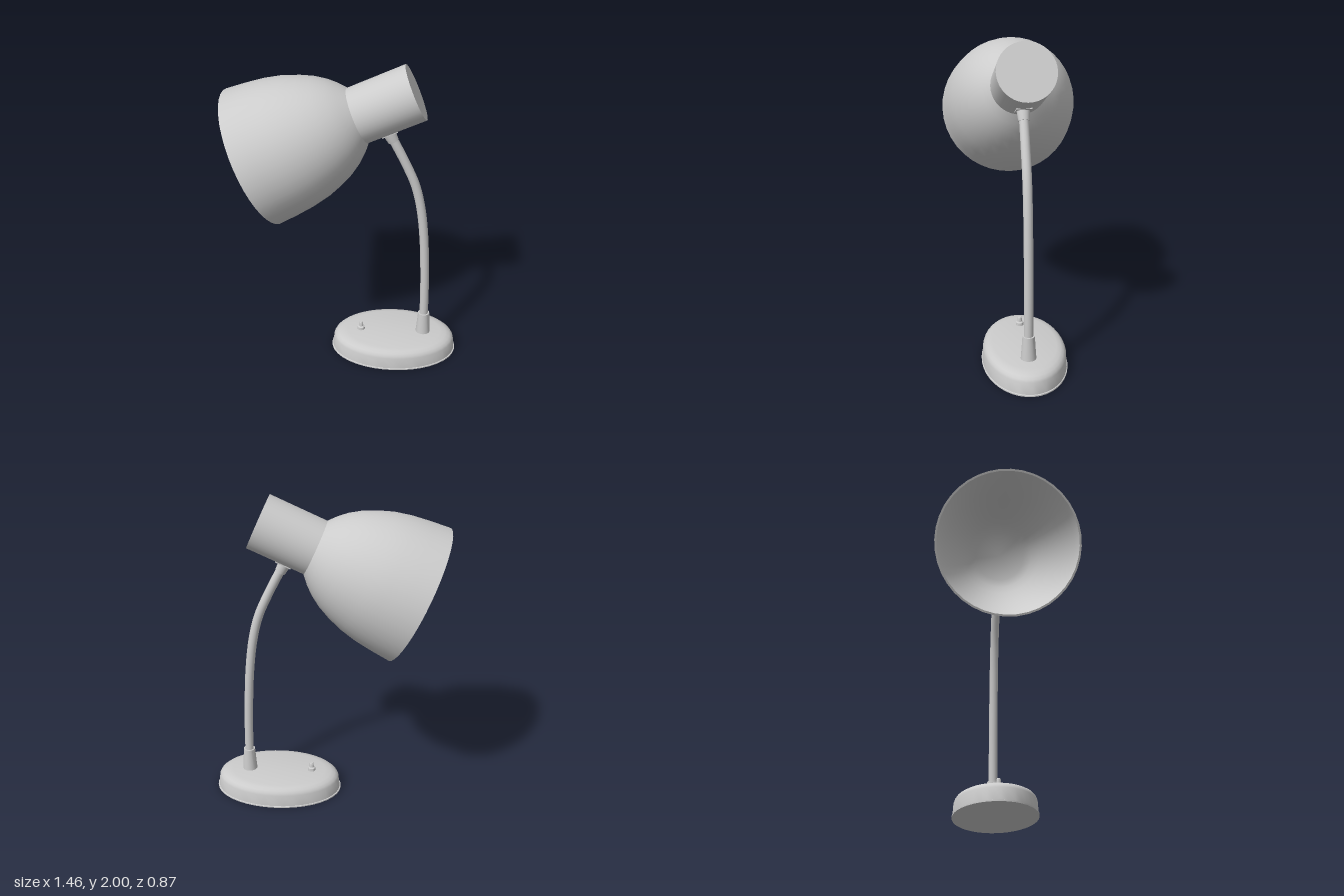
import * as THREE from 'three';
import { toCreasedNormals } from 'three/addons/utils/BufferGeometryUtils.js';

const material = new THREE.MeshStandardMaterial({ color: 0xcccccc });

function addMesh(parent, name, geometry) {
  const mesh = new THREE.Mesh(geometry, material);
  mesh.name = name;
  parent.add(mesh);
  return mesh;
}

// Turned part: profile of [radius, height], sharp edges kept
function turned(profile, segments = 32) {
  const points = profile.map(([r, y]) => new THREE.Vector2(r, y));
  return toCreasedNormals(new THREE.LatheGeometry(points, segments), 0.6);
}

export function createModel() {
  const lamp = new THREE.Group();
  lamp.name = 'deskLamp';

  // Oval base with a thin foot lip and a rounded shoulder
  const base = addMesh(lamp, 'base', turned([
    [0, 0], [0.415, 0], [0.415, 0.008], [0.408, 0.01], [0.4, 0.085], [0.392, 0.1],
    [0.376, 0.114], [0.35, 0.124], [0.31, 0.13], [0, 0.13],
  ], 40));
  base.scale.z = 0.64;
  base.position.x = 0.315;

  // Toggle switch
  const toggle = addMesh(lamp, 'switch', turned([
    [0.026, 0.125], [0.024, 0.148], [0.014, 0.154], [0.013, 0.18], [0.009, 0.186], [0, 0.186],
  ], 16));
  toggle.position.x = 0.095;

  // Tapered socket holding the stem
  const socket = addMesh(lamp, 'stemSocket', turned([
    [0.048, 0.125], [0.046, 0.15], [0.037, 0.28], [0, 0.28],
  ], 20));
  socket.position.x = 0.51;

  // Bent stem
  const path = new THREE.CatmullRomCurve3([
    [0.51, 0.2], [0.508, 0.4], [0.5, 0.62], [0.482, 0.88],
    [0.455, 1.08], [0.415, 1.24], [0.345, 1.4], [0.25, 1.585],
  ].map(([x, y]) => new THREE.Vector3(x, y, 0)));
  addMesh(lamp, 'stem', new THREE.TubeGeometry(path, 48, 0.028, 16));

  // Collar where the stem meets the head
  const collar = addMesh(lamp, 'stemCollar', turned([
    [0, 0], [0.033, 0], [0.04, 0.07], [0.04, 0.1], [0, 0.1],
  ], 20));
  collar.position.set(0.273, 1.535, 0);
  collar.rotation.z = 0.48;

  // Tilted head: local y runs from the open rim to the back of the neck
  const head = new THREE.Group();
  head.name = 'head';
  head.position.set(-0.5525, 1.415, 0);
  head.rotation.z = -THREE.MathUtils.degToRad(65.7);
  lamp.add(head);

  const outer = [
    [0.433, 0], [0.421, 0.12], [0.405, 0.237], [0.381, 0.34], [0.346, 0.434],
    [0.31, 0.51], [0.264, 0.58], [0.22, 0.63], [0.17, 0.675],
  ];
  const inner = outer.map(([r, y]) => [r - 0.012, Math.min(y, 0.662)]).reverse();
  addMesh(head, 'shade', turned([...outer, [0, 0.675]], 40));
  addMesh(head, 'shadeLining', turned([[0, 0.662], ...inner, outer[0]], 40));

  const neck = addMesh(head, 'neck', new THREE.CylinderGeometry(0.171, 0.171, 0.367, 40));
  neck.position.y = 0.857;

  // Small mounting block under the neck
  const mount = addMesh(head, 'neckMount', new THREE.BoxGeometry(0.03, 0.1, 0.09));
  mount.position.set(0.158, 0.805, 0);

  return lamp;
}
